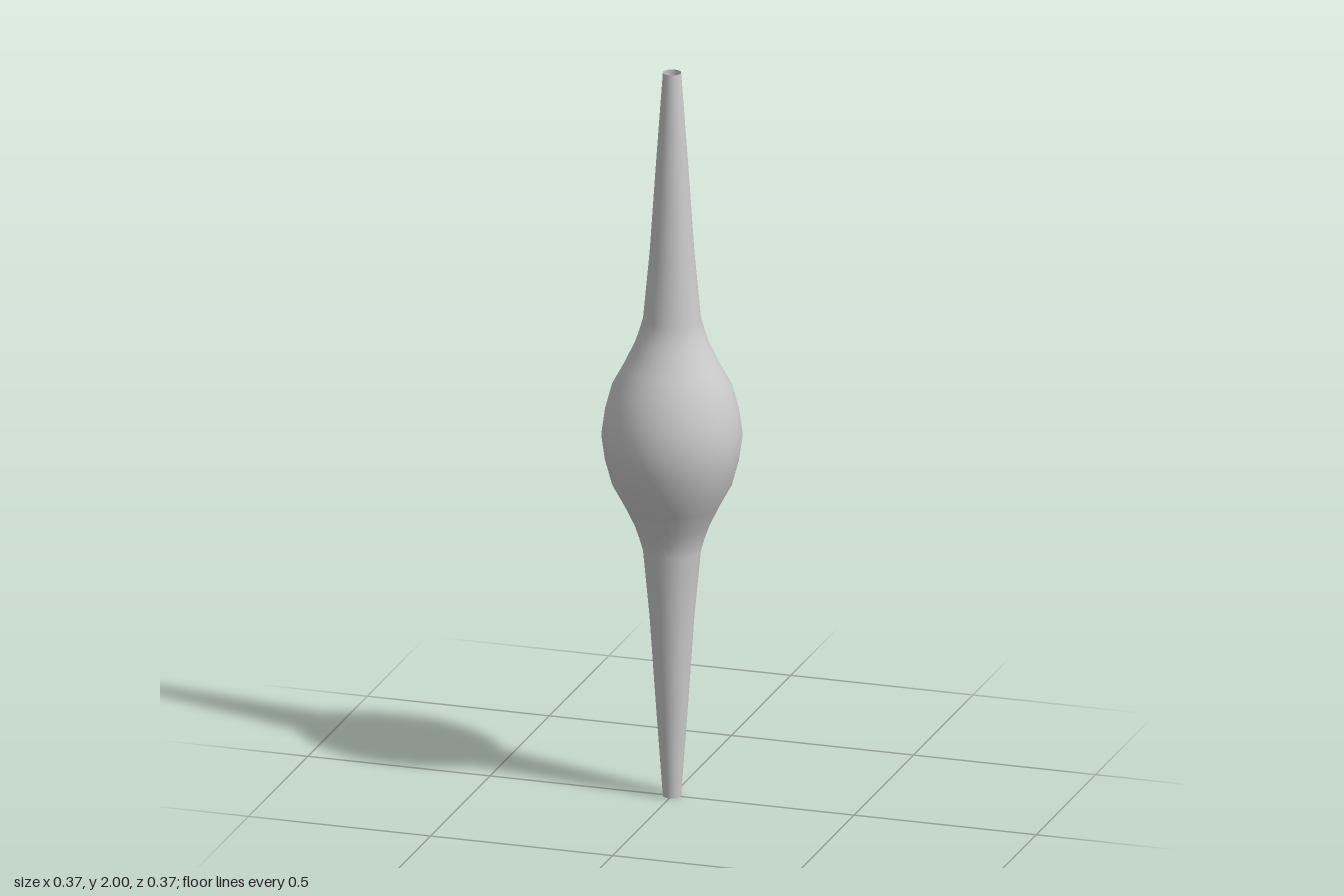
import * as THREE from 'three';

export function createModel() {
  const group = new THREE.Group();
  const material = new THREE.MeshStandardMaterial({ color: 0xcccccc, side: THREE.DoubleSide });

  // Upper half of the profile: [radius, height above the middle]
  const half = [
    [0.185, 0], [0.176, 0.065], [0.157, 0.135], [0.127, 0.19], [0.098, 0.25],
    [0.086, 0.285], [0.076, 0.32], [0.059, 0.5], [0.042, 0.75], [0.024, 1],
  ];

  // Mirror it downward, then turn it into a hollow spindle open at both ends
  const lower = half.slice(1).reverse().map(([r, h]) => new THREE.Vector2(r, 1 - h));
  const upper = half.map(([r, h]) => new THREE.Vector2(r, 1 + h));
  const spindle = new THREE.Mesh(new THREE.LatheGeometry([...lower, ...upper], 32), material);
  spindle.name = 'spindle';
  group.add(spindle);

  return group;
}
